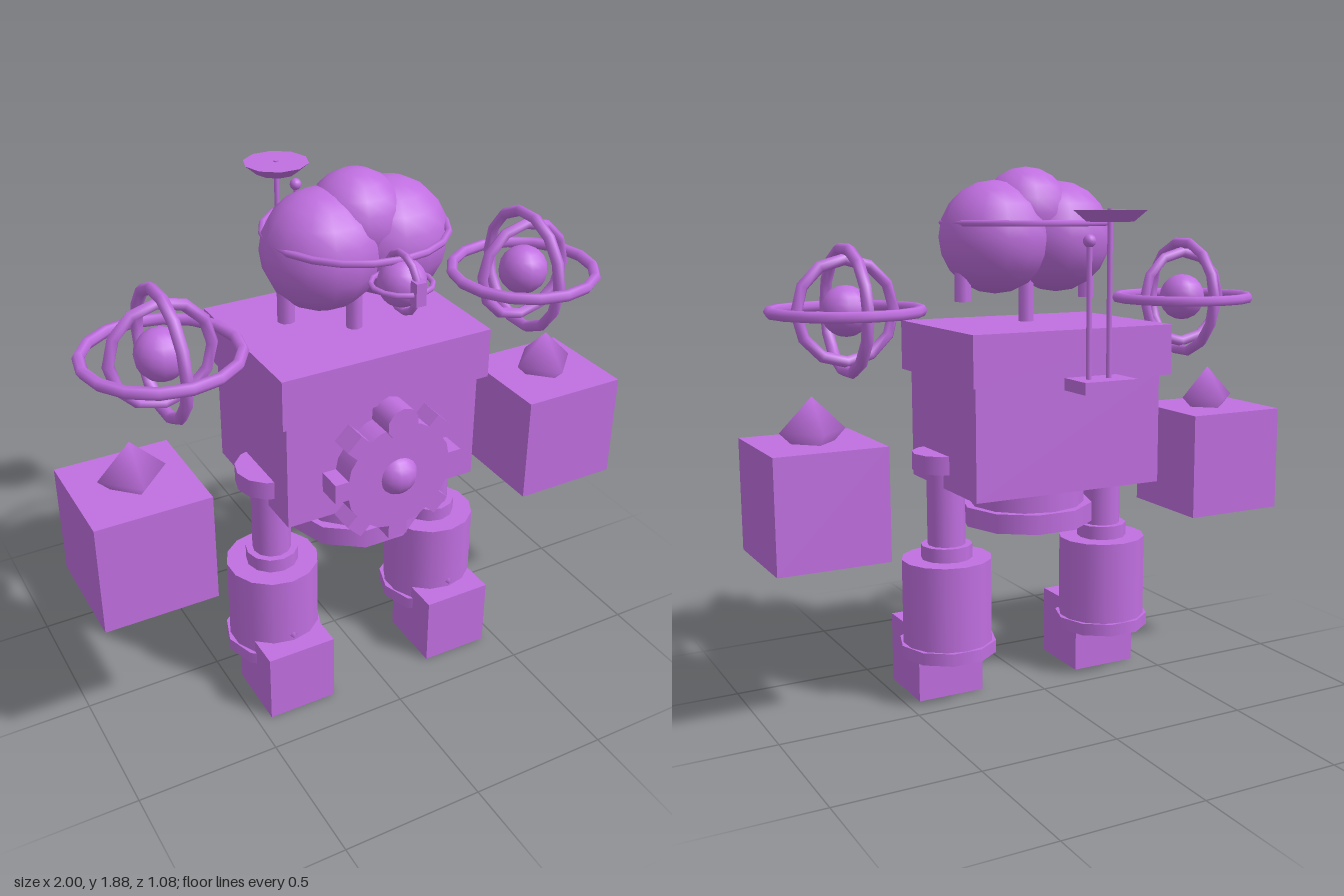
import * as THREE from 'three';

const material = new THREE.MeshStandardMaterial({ color: 0xc06fe0 });
const Z = 0.137; // depth of the main body axis

export function createModel() {
  const model = new THREE.Group();

  const add = (name, geometry, x, y, z, parent = model) => {
    const mesh = new THREE.Mesh(geometry, material);
    mesh.name = name;
    mesh.position.set(x, y, z);
    parent.add(mesh);
    return mesh;
  };
  const group = (name) => {
    const g = new THREE.Group();
    g.name = name;
    model.add(g);
    return g;
  };
  const box = (w, h, d) => new THREE.BoxGeometry(w, h, d);
  const ball = (r) => new THREE.SphereGeometry(r, 14, 10);
  const drum = (r, h, sides = 12, rTop = r) => new THREE.CylinderGeometry(rTop, r, h, sides);
  // Ring given by its outer radius
  const ring = (outer, tube, sides = 14) => new THREE.TorusGeometry(outer - tube, tube, 6, sides);

  // Torso and pelvis
  add('upperTorso', box(0.765, 0.175, 0.595), 0, 1.255, 0.075);
  add('lowerTorso', box(0.715, 0.39, 0.53), 0, 0.975, 0.08);
  add('pelvis', drum(0.21, 0.14), 0, 0.73, Z);
  add('pelvisDisc', drum(0.24, 0.07, 10).rotateY(Math.PI / 2), 0, 0.65, Z);

  // Legs
  for (const side of [-1, 1]) {
    const x = side * 0.323;
    const leg = group(side < 0 ? 'rightLeg' : 'leftLeg');
    add('hipDisc', drum(0.118, 0.065), x, 0.868, Z, leg);
    add('thigh', drum(0.068, 0.32), x, 0.7, Z, leg);
    add('kneeCollar', drum(0.092, 0.05), x, 0.54, Z, leg);
    add('shin', drum(0.162, 0.31, 14), x, 0.36, Z, leg);
    add('ankleRing', drum(0.176, 0.045, 10).rotateY(Math.PI / 2), x, 0.188, Z, leg);
    add('shinStud', new THREE.SphereGeometry(0.014, 4, 2), x, 0.28, 0.298, leg);
    add('foot', box(0.25, 0.257, 0.25), x, 0.1285, 0.237, leg);
  }

  // Floating fists and shoulder orbs
  for (const side of [-1, 1]) {
    const arm = group(side < 0 ? 'rightArm' : 'leftArm');
    add('fist', box(0.39, 0.39, 0.39), side * 0.805, 0.78, Z, arm);
    add('fistCrystal', new THREE.SphereGeometry(0.115, 4, 2), side * 0.803, 1.014, Z, arm);

    const x = side * 0.675, y = 1.405;
    add('shoulderOrb', ball(0.086), x, y, Z, arm);
    add('innerRing', ring(0.19, 0.02, 12), x, y, Z, arm);
    add('middleRing', ring(0.227, 0.02, 14).rotateY(Math.PI / 2), x, y, Z, arm);
    add('outerRing', ring(0.27, 0.02, 16).rotateX(Math.PI / 2), x, y, Z, arm);
  }

  // Head: lobes, halo and posts
  const head = group('head');
  for (const side of [-1, 1]) {
    add('sideLobe', ball(0.196), side * 0.122, 1.64, Z, head);
    add('sidePost', drum(0.03, 0.16, 8), side * 0.248, 1.5, Z, head);
  }
  add('topLobe', ball(0.158), 0, 1.724, Z, head);
  add('neckPost', drum(0.028, 0.26, 8), 0, 1.46, Z, head);
  add('halo', ring(0.308, 0.012, 20).rotateX(Math.PI / 2), 0, 1.69, Z, head);

  // Eye orb in front of the head
  const eye = group('eye');
  add('eyeball', ball(0.077), 0, 1.615, 0.428, eye);
  add('eyeRingLevel', ring(0.104, 0.009).rotateX(Math.PI / 2), 0, 1.612, 0.428, eye);
  add('eyeRingUpright', ring(0.104, 0.012).rotateY(Math.PI / 2), 0, 1.615, 0.428, eye);
  add('eyeLens', box(0.035, 0.075, 0.035), 0, 1.617, 0.523, eye);

  // Chest gear with eight teeth, hub and top pinion
  const gear = group('chestGear');
  add('gearDisc', drum(0.195, 0.088, 16).rotateX(Math.PI / 2), 0, 0.93, 0.403, gear);
  for (let i = 0; i < 8; i++) {
    const a = (i * Math.PI) / 4;
    const tooth = add('gearTooth', box(0.07, 0.07, 0.088),
      Math.sin(a) * 0.202, 0.93 + Math.cos(a) * 0.202, 0.403, gear);
    tooth.rotation.z = -a;
  }
  add('gearHub', ball(0.073), 0, 0.93, 0.42, gear);
  add('pinion', drum(0.058, 0.105, 10).rotateX(Math.PI / 2), 0, 1.135, 0.412, gear);

  // Rear antennas: dish on one rod, ball on the other
  const antenna = group('antenna');
  const az = -0.427;
  add('antennaBase', box(0.195, 0.04, 0.133), 0.028, 1.185, az, antenna);
  add('dishRod', drum(0.009, 0.54, 8), 0, 1.47, az, antenna);
  add('dish', drum(0.075, 0.036, 10, 0.117).rotateY(Math.PI / 10), 0, 1.717, az, antenna);
  add('ballRod', drum(0.009, 0.44, 8), 0.075, 1.42, az, antenna);
  add('antennaBall', ball(0.021), 0.075, 1.64, az, antenna);

  return model;
}
